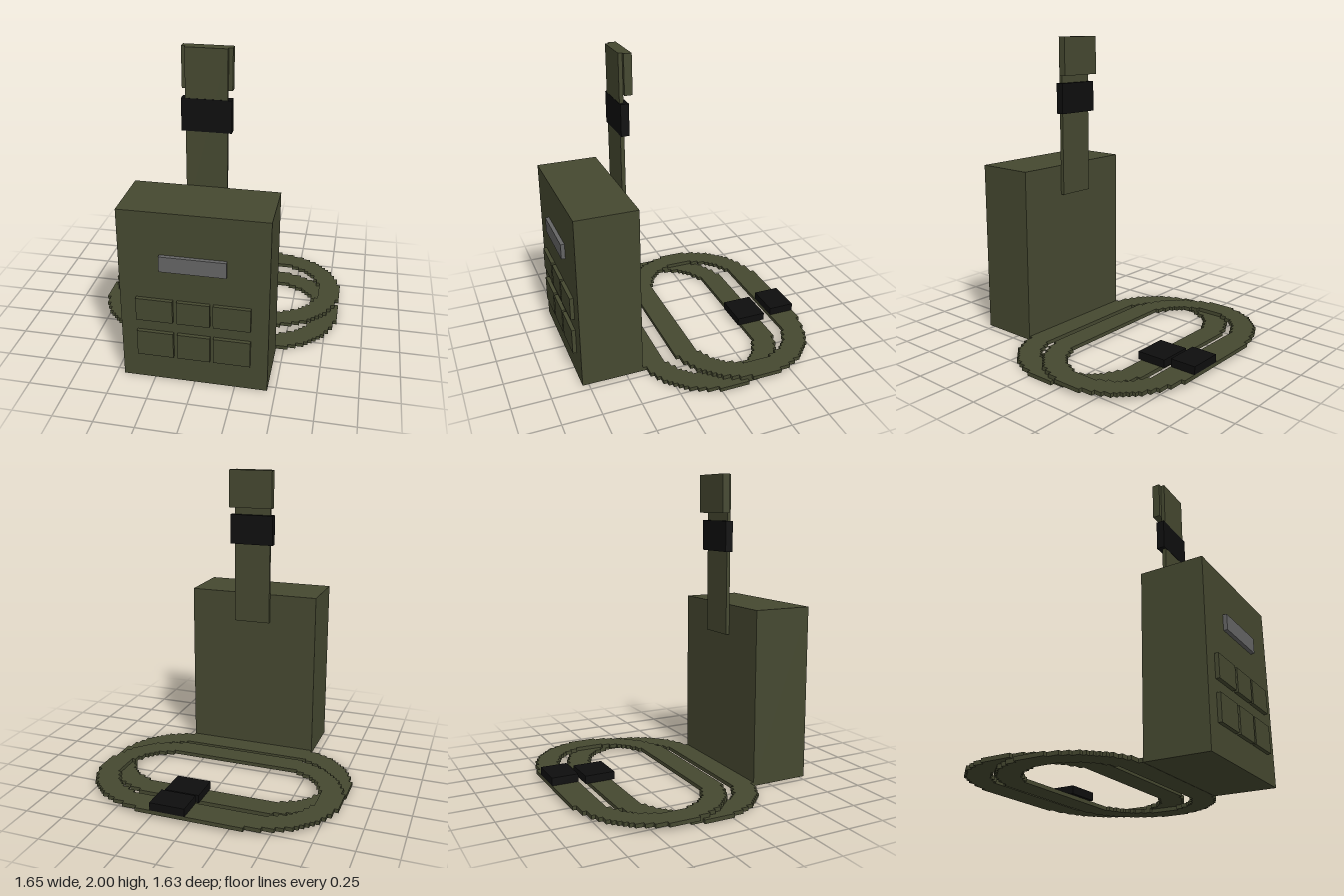
import * as THREE from 'three';

const STEP = 0.025;

export function createModel() {
  const model = new THREE.Group();
  model.name = 'beltPouch';

  const olive = new THREE.MeshStandardMaterial({ color: 0x454830 });
  olive.name = 'olive';
  const black = new THREE.MeshStandardMaterial({ color: 0x0e0e0e });
  black.name = 'black';
  const grey = new THREE.MeshStandardMaterial({ color: 0x646464 });
  grey.name = 'grey';

  // box given by its minimum and maximum on each axis
  function box(name, material, [x0, x1], [y0, y1], [z0, z1]) {
    const mesh = new THREE.Mesh(new THREE.BoxGeometry(x1 - x0, y1 - y0, z1 - z0), material);
    mesh.position.set((x0 + x1) / 2, (y0 + y1) / 2, (z0 + z1) / 2);
    mesh.name = name;
    model.add(mesh);
    return mesh;
  }

  // stair-stepped oval outline, one row per step
  function steppedOval(radius, extraRow) {
    const rows = Math.round((2 * radius) / STEP);
    const right = [];
    for (let i = 0; i < rows; i++) {
      const y = -radius + i * STEP;
      const d = y + STEP / 2;
      const x = Math.round((0.35 + Math.sqrt(radius * radius - d * d)) / STEP) * STEP;
      right.push(new THREE.Vector2(x, y), new THREE.Vector2(x, y + STEP));
    }
    if (extraRow) right.push(new THREE.Vector2(0.35, radius), new THREE.Vector2(0.35, radius + STEP));
    const left = right.map((p) => new THREE.Vector2(-p.x, p.y)).reverse();
    // drop repeated points where neighbouring rows are equally wide
    return [...right, ...left].filter((p, i, all) => i === 0 || p.distanceTo(all[i - 1]) > 1e-6);
  }

  // flat belt loop lying on the ground
  function beltLoop(name, y, z, extraRow) {
    const shape = new THREE.Shape(steppedOval(0.475, extraRow));
    shape.holes.push(new THREE.Path(steppedOval(0.325, false)));
    const geometry = new THREE.ExtrudeGeometry(shape, { depth: STEP, bevelEnabled: false });
    geometry.rotateX(-Math.PI / 2);
    const mesh = new THREE.Mesh(geometry, olive);
    mesh.position.set(0, y, z);
    mesh.name = name;
    model.add(mesh);
  }

  // pouch body with display plate and buttons
  box('body', olive, [-0.45, 0.45], [0, 1.15], [0.39, 0.79]);
  box('display', grey, [-0.2, 0.2], [0.78, 0.88], [0.79, 0.815]);
  for (const y of [[0.18, 0.35], [0.43, 0.58]]) {
    for (const x of [[-0.35, -0.125], [-0.1, 0.1], [0.12, 0.345]]) {
      box('button', olive, x, y, [0.79, 0.815]);
    }
  }

  // upright strap with folded end and buckle
  box('strap', olive, [-0.125, 0.125], [0.95, 2], [0.365, 0.39]);
  box('strapFold', olive, [-0.15, 0.15], [1.75, 2], [0.315, 0.365]);
  box('strapBuckle', black, [-0.15, 0.15], [1.5, 1.7], [0.34, 0.392]);

  // two overlapping belt loops with their buckles
  beltLoop('lowerBelt', 0, -0.0875, false);
  beltLoop('upperBelt', STEP, -0.315, true);
  // fills the thicker back run of the upper belt
  box('lowerBeltBuckle', black, [0.02, 0.25], [0.025, 0.077], [-0.59, -0.39]);
  box('upperBeltBuckle', black, [0.02, 0.25], [0.05, 0.102], [-0.815, -0.64]);

  return model;
}
